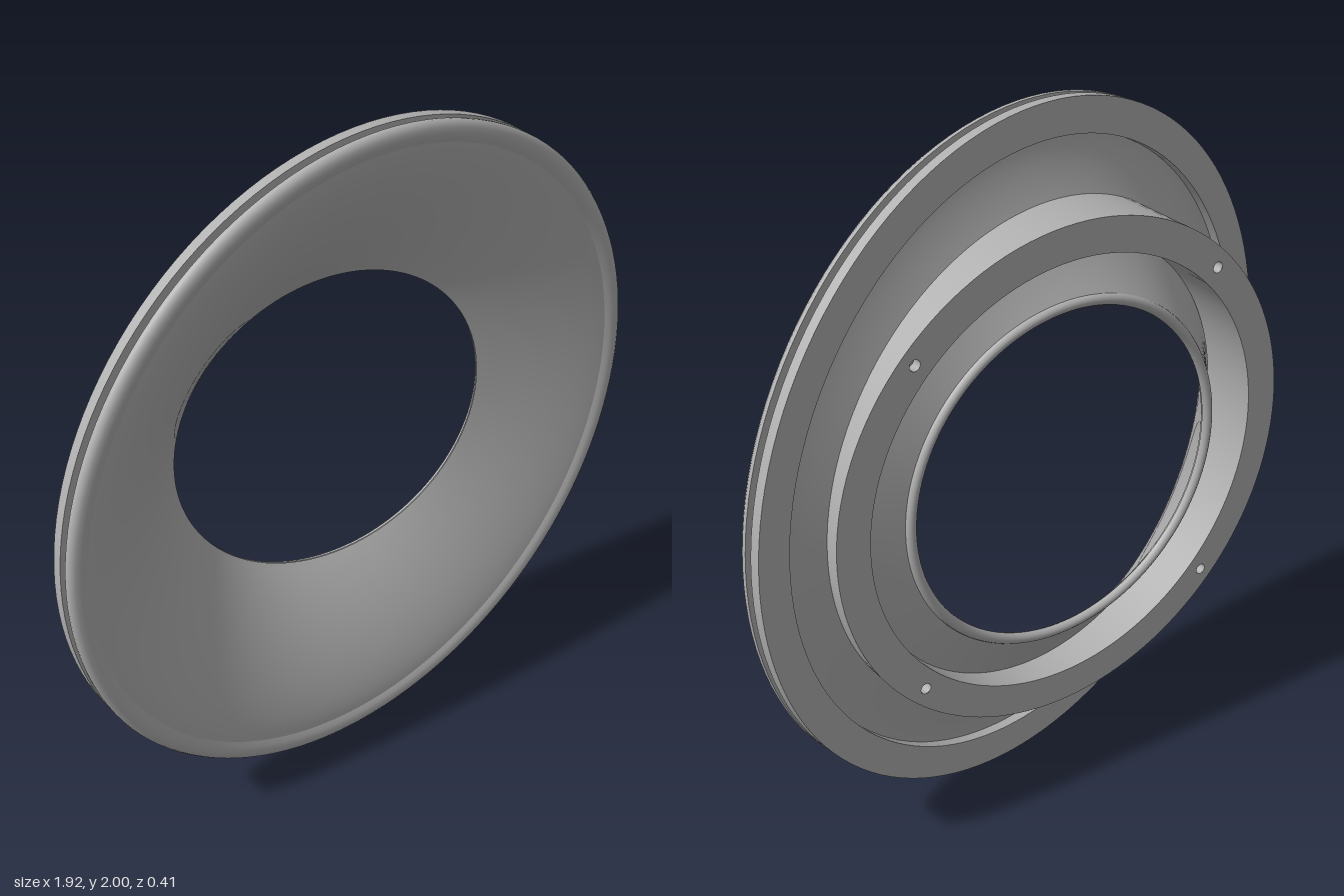
import * as THREE from 'three';

const SEG = 128;
const TILT = THREE.MathUtils.degToRad(10);
const CX = -0.01, CY = 1.003; // axis of the straight collar and throat
const BACK_Z = -0.215;

const grey = new THREE.MeshStandardMaterial({ color: 0xb0b0b0, side: THREE.DoubleSide });
grey.name = 'grey';

// Point on the tilted flange: r = radius, d = distance in front of its back face
function tilted(r, d, a) {
  const u = 0.97 * r * Math.cos(a);
  return new THREE.Vector3(
    -0.01 + u * Math.cos(TILT) + d * Math.sin(TILT),
    1 + r * Math.sin(a),
    -0.0425 - u * Math.sin(TILT) + d * Math.cos(TILT));
}

// Point on a ring about the straight z axis
function straight(r, z, a) {
  return new THREE.Vector3(CX + r * Math.cos(a), CY + r * Math.sin(a), z);
}

// Flared wall: from a straight throat ring to a tilted rim ring
function flare(t, a, throatR, throatZ, rimR, rimD) {
  const p = straight(throatR, throatZ, a), q = tilted(rimR, rimD, a);
  const f = 1 - Math.pow(1 - t, 1.47);
  return new THREE.Vector3(
    THREE.MathUtils.lerp(p.x, q.x, t),
    THREE.MathUtils.lerp(p.y, q.y, t),
    THREE.MathUtils.lerp(p.z, q.z, f));
}
const frontWall = (t, a) => flare(t, a, 0.488, -0.185, 0.94, 0.066);
const backWall = (t, a) => flare(t, a, 0.52, -0.19, 0.9, 0.03);

// Smooth surface through closed rings; each ring is a function of angle
function loft(name, rings) {
  const pos = [], idx = [];
  for (const ring of rings) {
    for (let j = 0; j < SEG; j++) pos.push(...ring((j / SEG) * Math.PI * 2).toArray());
  }
  for (let i = 0; i < rings.length - 1; i++) {
    for (let j = 0; j < SEG; j++) {
      const k = (j + 1) % SEG;
      const a = i * SEG + j, b = a + SEG, c = i * SEG + k, d = c + SEG;
      idx.push(a, b, c, b, d, c);
    }
  }
  const geo = new THREE.BufferGeometry();
  geo.setAttribute('position', new THREE.Float32BufferAttribute(pos, 3));
  geo.setIndex(idx);
  geo.computeVertexNormals();
  const mesh = new THREE.Mesh(geo, grey);
  mesh.name = name;
  return mesh;
}

const tiltRings = (pts) => pts.map(([r, d]) => (a) => tilted(r, d, a));
const steps = (n, fn) => Array.from({ length: n + 1 }, (_, i) => fn(i / n));

export function createModel() {
  const group = new THREE.Group();
  group.name = 'angledFlaredRing';

  // Flared bowl, front and back faces
  group.add(loft('flareFront', steps(28, (t) => (a) => frontWall(t, a))));
  group.add(loft('flareBack', steps(28, (t) => (a) => backWall(1 - t, a))));

  // Rounded lip at the throat
  group.add(loft('throatLip', steps(8, (t) => (a) => straight(
    0.504 + 0.016 * Math.cos(Math.PI * t),
    -0.187 - 0.018 * Math.sin(Math.PI * t), a)).reverse()));

  // Rolled front rim
  group.add(loft('rolledRim', tiltRings([
    [0.94, 0.066], [0.953, 0.073], [0.968, 0.078], [0.983, 0.077],
    [0.994, 0.071], [1, 0.062], [0.999, 0.052]])));

  // Groove around the edge and the flat back plate, with sharp corners between strips
  const edge = [[0.999, 0.052], [0.965, 0.05], [0.965, 0.032], [1, 0.03], [1, 0], [0.9, 0], [0.9, 0.03]];
  const edgeNames = ['grooveFront', 'grooveFloor', 'grooveBack', 'flangeEdge', 'flangeBack', 'flangeStep'];
  edgeNames.forEach((name, i) => group.add(loft(name, tiltRings([edge[i], edge[i + 1]]))));

  // Straight collar whose walls run forward into the flare
  const outer = 0.74, inner = 0.64;
  const wallZ = (r, a) => backWall((r - 0.52) / 0.37, a).z + 0.008;
  group.add(loft('collarOuterWall', [
    (a) => straight(outer, wallZ(outer, a), a), (a) => straight(outer, BACK_Z, a)]));
  group.add(loft('collarInnerWall', [
    (a) => straight(inner, BACK_Z, a), (a) => straight(inner, wallZ(inner, a), a)]));

  // Collar end face with four screw holes
  const face = new THREE.Shape().absarc(0, 0, outer, 0, Math.PI * 2);
  face.holes.push(new THREE.Path().absarc(0, 0, inner, 0, Math.PI * 2, true));
  for (const sx of [-1, 1]) {
    for (const sy of [-1, 1]) {
      const x = sx * 0.49, y = sy * 0.49;
      face.holes.push(new THREE.Path().absarc(x, y, 0.016, 0, Math.PI * 2, true));
      const wall = new THREE.Mesh(new THREE.CylinderGeometry(0.016, 0.016, 0.03, 20, 1, true), grey);
      wall.rotation.x = Math.PI / 2;
      wall.position.set(CX + x, CY + y, BACK_Z + 0.015);
      wall.name = 'screwHoleWall';
      const floor = new THREE.Mesh(new THREE.CircleGeometry(0.016, 20), grey);
      floor.rotation.y = Math.PI;
      floor.position.set(CX + x, CY + y, BACK_Z + 0.03);
      floor.name = 'screwHoleFloor';
      group.add(wall, floor);
    }
  }
  const end = new THREE.Mesh(new THREE.ShapeGeometry(face, 64), grey);
  end.rotation.y = Math.PI;
  end.position.set(CX, CY, BACK_Z);
  end.name = 'collarEndFace';
  group.add(end);

  return group;
}
